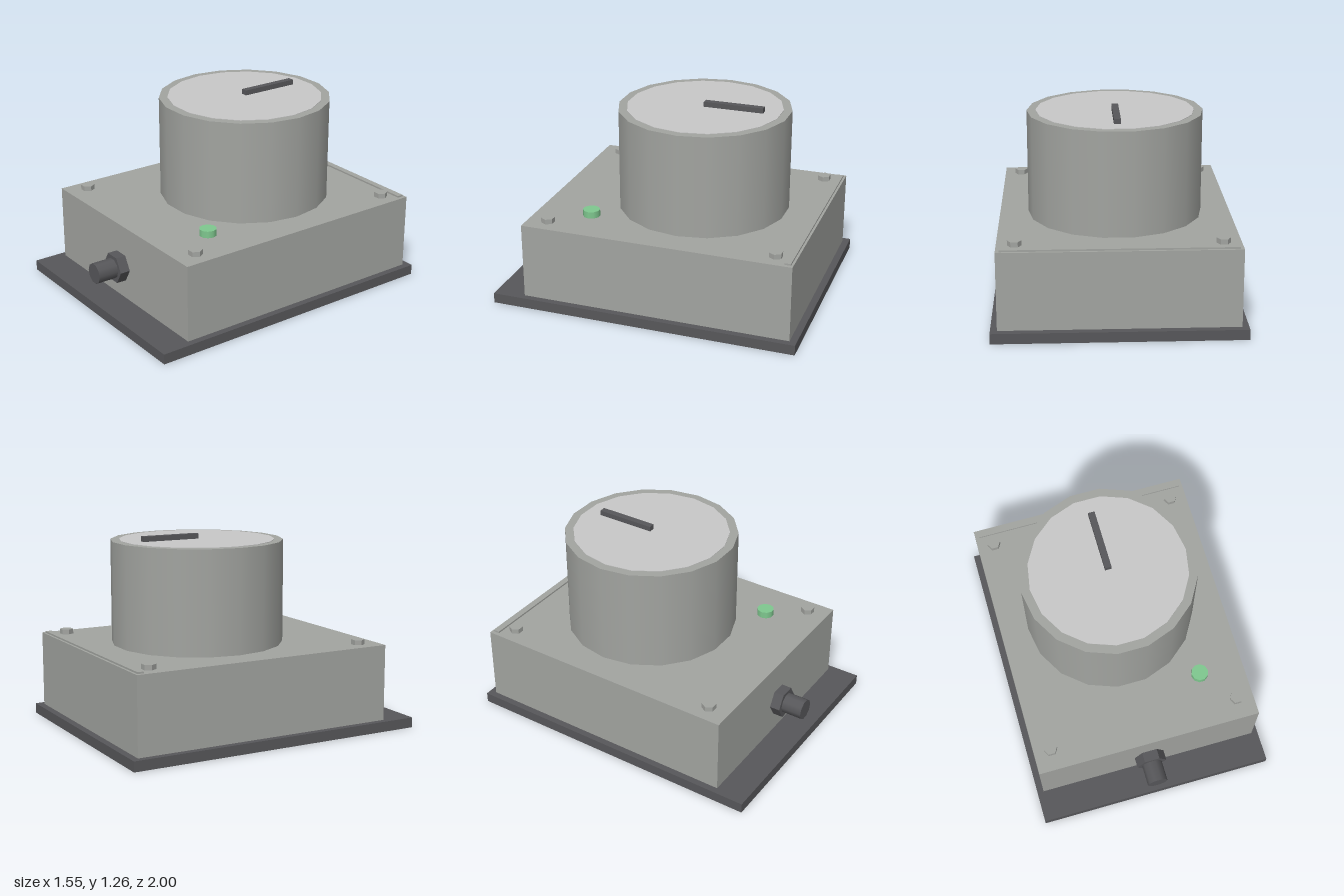
import * as THREE from 'three';

const mat = (name, color, flatShading = false) => {
  const m = new THREE.MeshStandardMaterial({ color });
  m.name = name;
  m.flatShading = flatShading;
  return m;
};

export function createModel() {
  const group = new THREE.Group();
  const housing = mat('housing grey', 0xa2a4a0);
  const pale = mat('pale dial grey', 0xc8c8c8);
  const dark = mat('dark grey', 0x57575a);
  const green = mat('lamp green', 0x7fc88f);

  const add = (name, geometry, material, x, y, z) => {
    const mesh = new THREE.Mesh(geometry, material);
    mesh.name = name;
    mesh.position.set(x, y, z);
    group.add(mesh);
    return mesh;
  };

  // Box given by its ranges on each axis
  const box = (name, material, [x0, x1], [y0, y1], [z0, z1]) =>
    add(name, new THREE.BoxGeometry(x1 - x0, y1 - y0, z1 - z0), material,
      (x0 + x1) / 2, (y0 + y1) / 2, (z0 + z1) / 2);

  // Prism with corners on the x axis and flat sides towards z
  const prism = (r, h, sides) =>
    new THREE.CylinderGeometry(r, r, h, sides).rotateY(Math.PI / sides);
  // Hexagon with hard edges
  const hex = (r, h) => {
    const g = prism(r, h, 6).toNonIndexed();
    g.computeVertexNormals();
    return g;
  };

  // Mounting plate and housing
  box('basePlate', dark, [-0.777, 0.777], [0, 0.066], [-1, 1]);
  box('housing', housing, [-0.735, 0.735], [0.066, 0.56], [-0.955, 0.8]);
  box('rearStrip', housing, [-0.712, 0.712], [0.56, 0.571], [-0.94, -0.9]);

  // Drum with dial face and pointer
  add('drum', prism(0.555, 0.662, 18), housing, 0, 0.891, -0.17);
  add('dialFace', prism(0.5, 0.004, 18), pale, 0, 1.223, -0.17);
  box('pointer', dark, [-0.021, 0.021], [1.222, 1.258], [-0.556, -0.167]);

  // Corner bolts
  for (const x of [-0.624, 0.624])
    for (const z of [-0.825, 0.663])
      add('cornerBolt', hex(0.044, 0.032), housing, x, 0.576, z);

  // Indicator lamp
  add('indicatorLamp', prism(0.055, 0.044, 10), green, 0.442, 0.582, 0.442);

  // Cable gland on the front
  add('glandNut', hex(0.099, 0.066).rotateX(Math.PI / 2), dark, 0, 0.28, 0.833);
  add('glandStub', prism(0.067, 0.14, 10).rotateX(Math.PI / 2), dark, 0, 0.28, 0.93);

  return group;
}
